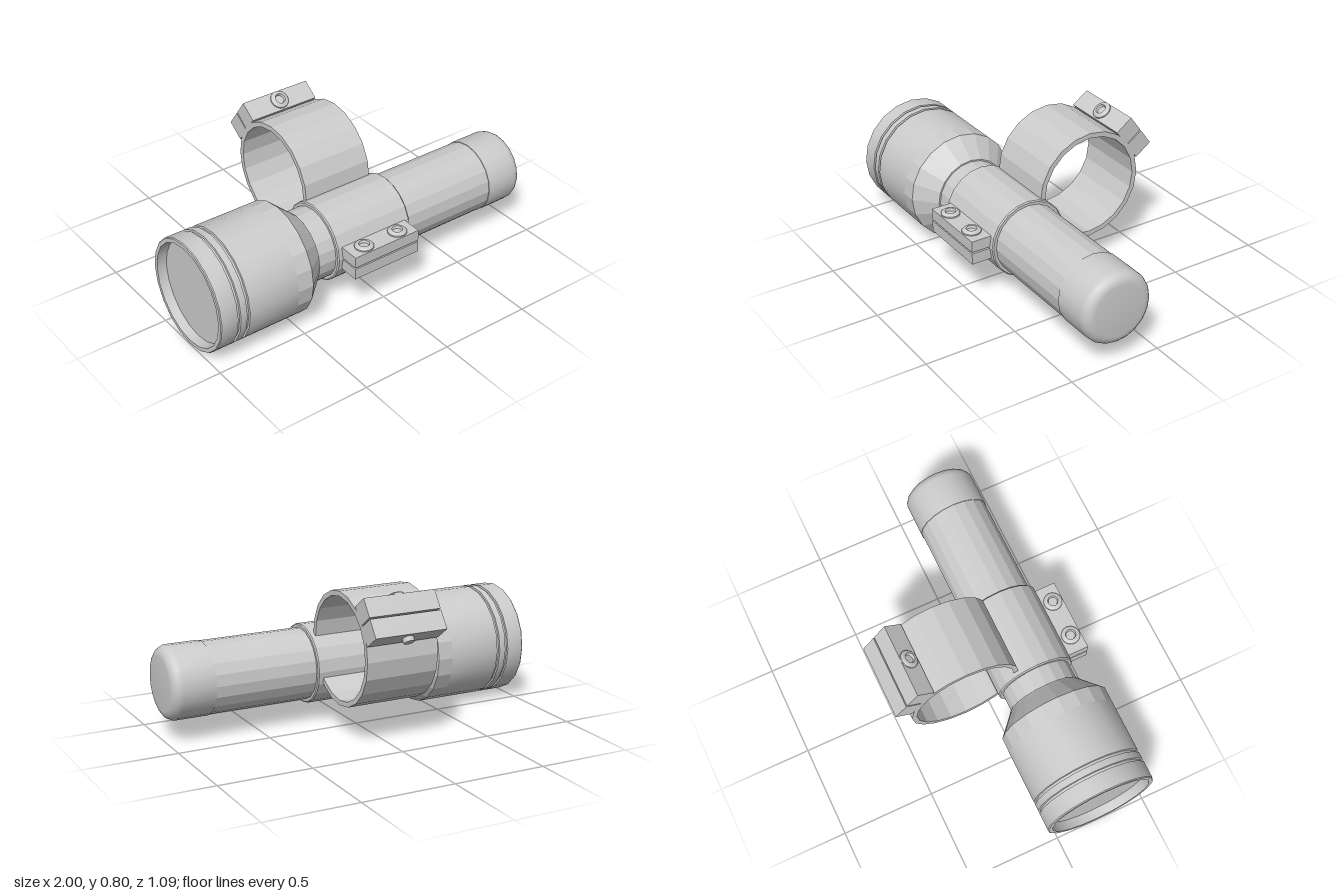
import * as THREE from 'three';
import { toCreasedNormals } from 'three/addons/utils/BufferGeometryUtils.js';

const SIDES = 20;
const AXIS_Y = 0.302, AXIS_Z = 0.23;
const smooth = new THREE.MeshStandardMaterial({ color: 0xcccccc });
const flat = new THREE.MeshStandardMaterial({ color: 0xcccccc, flatShading: true });

const lathe = (points, sides) =>
  new THREE.LatheGeometry(points.map(([r, h]) => new THREE.Vector2(r, h)), sides);

function add(parent, name, geometry, material = flat) {
  const mesh = new THREE.Mesh(geometry, material);
  mesh.name = name;
  parent.add(mesh);
  return mesh;
}

// Turned part around the torch axis; points are [radius, x]
function turned(parent, name, points, rounded) {
  let geometry = lathe(points, SIDES).rotateZ(-Math.PI / 2);
  if (rounded) geometry = toCreasedNormals(geometry, 0.5);
  const mesh = add(parent, name, geometry, rounded ? smooth : flat);
  mesh.position.set(0, AXIS_Y, AXIS_Z);
}

// Pair of clamping lugs: local x is radial, y across the slit, z along the torch
function lugPair(parent, name, { inner, outer, half, boltRadius, boltZ, nutHeight }) {
  const group = new THREE.Group();
  group.name = name;
  const gap = 0.004;
  for (const side of [1, -1]) {
    const block = add(group, 'lug', new THREE.BoxGeometry(outer - inner, half - gap, 0.4));
    block.position.set((inner + outer) / 2, side * (half + gap) / 2, 0);
  }
  for (const z of boltZ) {
    // Domed socket head
    const head = add(group, 'boltHead', toCreasedNormals(lathe([
      [0.05, -0.002], [0.05, 0.007], [0.045, 0.013], [0.036, 0.017],
      [0.028, 0.017], [0.024, 0.003], [0, 0.003],
    ], 16), 0.6), smooth);
    head.position.set(boltRadius, half, z);
    // Bolt end below
    const end = add(group, 'boltEnd', toCreasedNormals(
      new THREE.CylinderGeometry(0.032, 0.028, nutHeight, 16), 0.6), smooth);
    end.position.set(boltRadius, -half - nutHeight / 2, z);
    const shank = add(group, 'boltShank', new THREE.CylinderGeometry(0.02, 0.02, half, 10));
    shank.position.set(boltRadius, 0, z);
  }
  parent.add(group);
  return group;
}

export function createModel() {
  const model = new THREE.Group();
  model.name = 'torchWithMount';

  // Head with recessed lens, rim and two grooves
  const head = [[0, -0.95], [0.27, -0.95], [0.275, -1], [0.296, -1], [0.3, -0.995]];
  for (const x of [-0.895, -0.843]) {
    head.push([0.3, x - 0.008], [0.29, x - 0.006], [0.29, x + 0.006], [0.3, x + 0.008]);
  }
  head.push([0.3, -0.55]);
  turned(model, 'head', head, true);
  turned(model, 'headTaper', [[0.3, -0.55], [0.3, -0.465], [0.205, -0.36], [0.2, -0.352], [0.188, -0.352]]);

  // Barrel and rounded tail cap
  turned(model, 'barrel', [[0.192, -0.36], [0.192, 0.78]]);
  const cap = [[0.185, 0.77], [0.196, 0.77]];
  for (let i = 0; i <= 6; i++) {
    const a = (i / 6) * Math.PI / 2;
    cap.push([0.141 + 0.055 * Math.cos(a), 0.945 + 0.055 * Math.sin(a)]);
  }
  cap.push([0, 1]);
  turned(model, 'tailCap', cap, true);

  // Clamp sleeve around the barrel
  turned(model, 'clampSleeve', [
    [0.19, -0.248], [0.207, -0.248], [0.213, -0.242], [0.213, 0.204], [0.207, 0.21], [0.19, 0.21],
  ]);

  // Large open ring, both ends joining the sleeve
  const angles = [228];
  for (let a = 234; a <= 540; a += 18) angles.push(a);
  const arc = (radius) => angles.map((deg) => {
    const a = THREE.MathUtils.degToRad(deg);
    return new THREE.Vector2(radius * Math.cos(a), radius * Math.sin(a));
  });
  const ringShape = new THREE.Shape([...arc(0.3), ...arc(0.273).reverse()]);
  const ring = add(model, 'mountRing',
    new THREE.ExtrudeGeometry(ringShape, { depth: 0.4, bevelEnabled: false }).rotateY(Math.PI / 2));
  ring.position.set(-0.22, 0.476, -0.163);

  // Lugs on the sleeve and on the ring
  const sleeveLugs = lugPair(model, 'sleeveLugs', {
    inner: 0.195, outer: 0.315, half: 0.065, boltRadius: 0.26, boltZ: [-0.105, 0.105], nutHeight: 0.017,
  });
  sleeveLugs.position.set(-0.02, 0.304, AXIS_Z);
  sleeveLugs.rotation.y = -Math.PI / 2;

  const ringLugs = lugPair(model, 'ringLugs', {
    inner: 0.288, outer: 0.395, half: 0.108, boltRadius: 0.345, boltZ: [0], nutHeight: 0.025,
  });
  ringLugs.position.set(-0.02, 0.476, -0.163);
  ringLugs.rotation.set(0, Math.PI / 2, Math.PI / 5, 'YXZ');

  return model;
}
